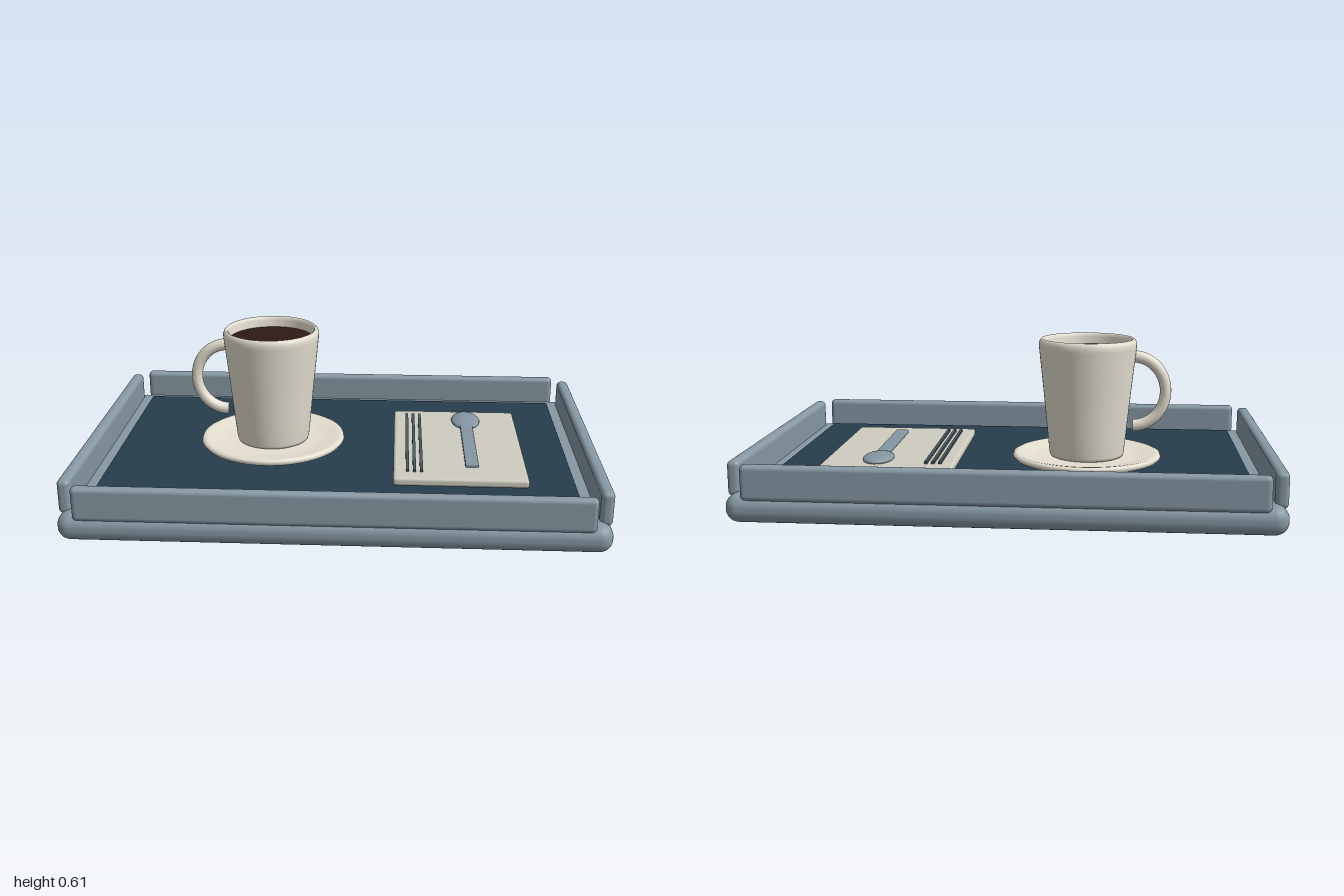
import * as THREE from 'three';
import { RoundedBoxGeometry } from 'three/addons/geometries/RoundedBoxGeometry.js';

const material = (color, extra = {}) => new THREE.MeshStandardMaterial({ color, ...extra });

export function createModel() {
  const group = new THREE.Group();
  const blue = material(0x8799a5);
  const navy = material(0x263d4c);
  const cream = material(0xe6e0d2);
  const linen = material(0xcfcdc0);
  const coffeeBrown = material(0x2f1a13);
  const steel = material(0x8496a3);
  const dark = material(0x4a5963);

  const add = (name, geometry, mat, x, y, z, parent = group) => {
    const mesh = new THREE.Mesh(geometry, mat);
    mesh.name = name;
    mesh.position.set(x, y, z);
    parent.add(mesh);
    return mesh;
  };
  // Rounded box given by its size, centre in plan and bottom height
  const slab = (name, w, h, d, r, mat, x, bottom, z, parent) =>
    add(name, new RoundedBoxGeometry(w, h, d, 4, r), mat, x, bottom + h / 2, z, parent);
  const lathe = (points) =>
    new THREE.LatheGeometry(points.map(([r, y]) => new THREE.Vector2(r, y)), 64);

  // Tray: base, inset mat and four separate rails
  const tray = new THREE.Group();
  tray.name = 'tray';
  group.add(tray);
  slab('trayBase', 2, 0.108, 1.34, 0.05, blue, 0, 0, 0, tray);
  slab('trayMat', 1.82, 0.03, 1.165, 0.008, navy, 0, 0.09, -0.003, tray);
  for (const s of [1, -1]) {
    slab(s > 0 ? 'frontRail' : 'backRail', 1.87, 0.133, 0.042, 0.019, blue, 0, 0.087, s * 0.649, tray);
    slab(s > 0 ? 'leftRail' : 'rightRail', 0.048, 0.133, 1.22, 0.019, blue, s * 0.976, 0.087, 0, tray);
  }

  // Cup and saucer share one axis
  const cup = new THREE.Group();
  cup.name = 'cupAndSaucer';
  cup.position.set(-0.285, 0, -0.055);
  group.add(cup);
  add('saucer', lathe([
    [0, 0.118], [0.2, 0.118], [0.27, 0.126], [0.288, 0.133], [0.295, 0.143], [0.291, 0.152],
    [0.28, 0.156], [0.265, 0.154], [0.22, 0.145], [0.18, 0.141], [0, 0.141],
  ]), cream, 0, 0, 0, cup);
  const mugMat = cream.clone();
  mugMat.side = THREE.DoubleSide;
  add('mug', lathe([
    [0, 0.14], [0.135, 0.14], [0.144, 0.144], [0.148, 0.155], [0.155, 0.22], [0.173, 0.4],
    [0.192, 0.575], [0.193, 0.592], [0.188, 0.605], [0.181, 0.611], [0.175, 0.607],
    [0.171, 0.595], [0.167, 0.54], [0.145, 0.3], [0.135, 0.18], [0, 0.18],
  ]), mugMat, 0, 0, 0, cup);
  const coffee = add('coffee', new THREE.CircleGeometry(0.17, 64), coffeeBrown, 0, 0.568, 0, cup);
  coffee.rotation.x = -Math.PI / 2;
  const handle = add('mugHandle', new THREE.TorusGeometry(0.138, 0.024, 16, 48, Math.PI),
    cream, -0.18, 0.402, 0, cup);
  handle.rotation.z = Math.PI / 2;
  handle.scale.y = 0.93;

  // Folded napkin with cutlery
  slab('napkin', 0.515, 0.034, 0.735, 0.012, linen, 0.473, 0.117, -0.003);
  const fork = new THREE.Group();
  fork.name = 'fork';
  group.add(fork);
  for (const x of [0.27, 0.297, 0.324]) {
    add('forkBar', new THREE.BoxGeometry(0.012, 0.012, 0.61), dark, x, 0.154, -0.003, fork);
  }
  const spoon = new THREE.Group();
  spoon.name = 'spoon';
  group.add(spoon);
  slab('spoonHandle', 0.052, 0.016, 0.43, 0.005, steel, 0.52, 0.149, 0.035, spoon);
  const bowl = add('spoonBowl', new THREE.SphereGeometry(1, 32, 20), steel, 0.52, 0.157, -0.243, spoon);
  bowl.scale.set(0.06, 0.018, 0.095);

  return group;
}
